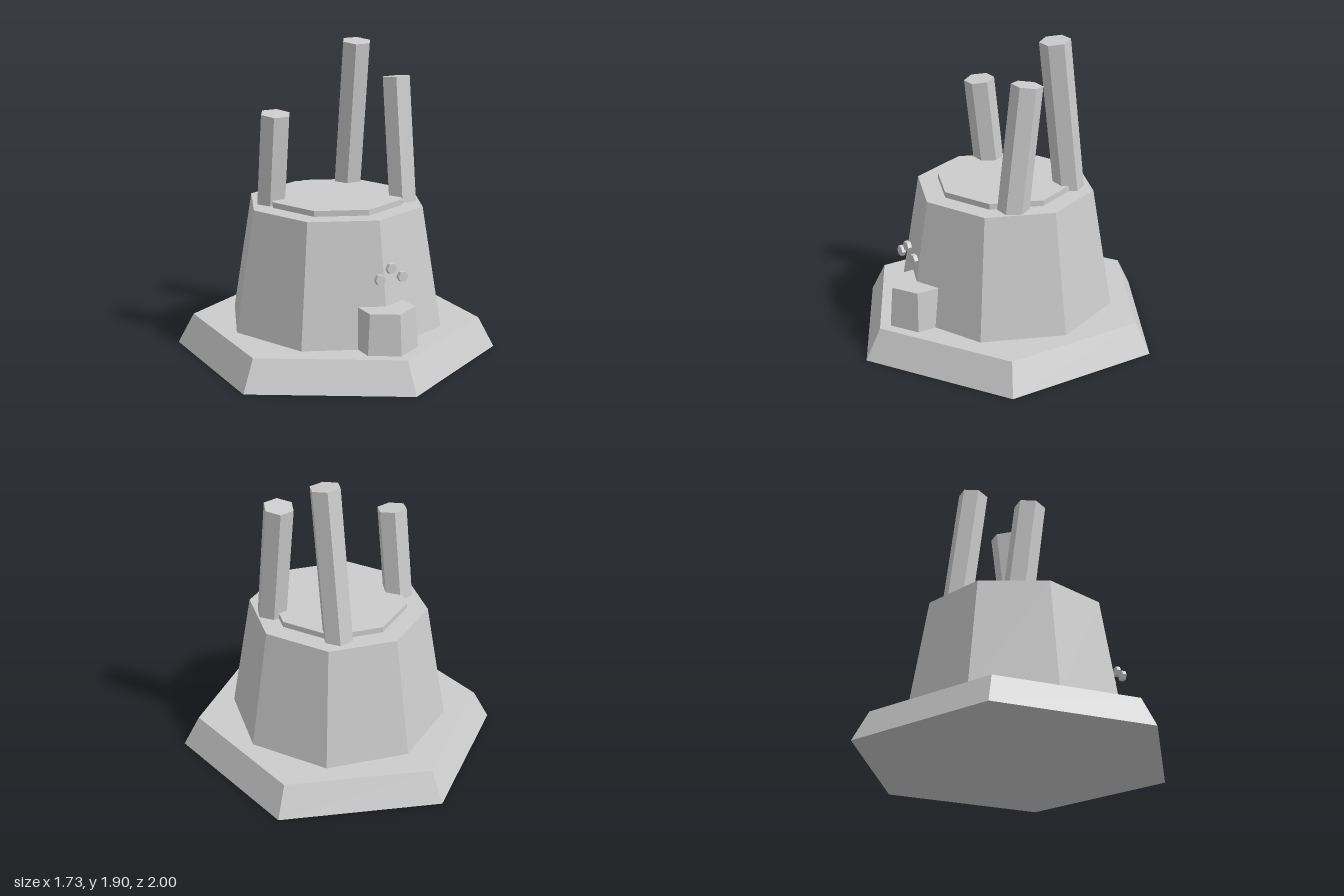
import * as THREE from 'three';

const material = new THREE.MeshStandardMaterial({ color: 0xcccccc, flatShading: true });

// Faceted prism standing from y0 to y1, with one corner facing +z.
function prism(name, sides, rBottom, rTop, y0, y1, z = 0) {
  const geometry = new THREE.CylinderGeometry(rTop, rBottom, y1 - y0, sides);
  const mesh = new THREE.Mesh(geometry, material);
  mesh.name = name;
  mesh.position.set(0, (y0 + y1) / 2, z);
  return mesh;
}

// Hexagonal pillar hanging down from its top centre, leaning about x.
function pillar(x, topY, topZ, lean) {
  const length = (topY - 0.93) / Math.cos(lean);
  const geometry = new THREE.CylinderGeometry(0.095, 0.095, length, 6);
  geometry.rotateY(Math.PI / 2);
  geometry.translate(0, -length / 2, 0);
  const mesh = new THREE.Mesh(geometry, material);
  mesh.name = 'pillar';
  mesh.position.set(x, topY, topZ);
  mesh.rotation.x = lean;
  return mesh;
}

export function createModel() {
  const group = new THREE.Group();
  group.name = 'tower';

  // Stacked body
  group.add(prism('base', 6, 1, 0.9, 0, 0.19));
  group.add(prism('body', 8, 0.68, 0.555, 0.19, 0.945));
  group.add(prism('topPlate', 8, 0.427, 0.427, 0.945, 0.98));

  // Entrance block, half sunk into the front corner
  group.add(prism('entrance', 6, 0.196, 0.177, 0.19, 0.44, 0.63));

  // Three leaning pillars
  const lean = THREE.MathUtils.degToRad(7);
  group.add(pillar(-0.38, 1.512, -0.053, lean));
  group.add(pillar(0.25, 1.893, -0.19, lean));
  group.add(pillar(0.375, 1.702, 0.088, -lean));

  // Small hexagonal studs above the entrance
  const studGeometry = new THREE.CylinderGeometry(0.033, 0.033, 0.026, 6);
  studGeometry.rotateY(Math.PI / 2);
  studGeometry.rotateX(Math.PI / 2);
  for (const [x, y] of [[-0.075, 0.632], [0, 0.69], [0.075, 0.632]]) {
    const stud = new THREE.Mesh(studGeometry, material);
    stud.name = 'stud';
    stud.position.set(x, y, 0.695);
    group.add(stud);
  }
  return group;
}
